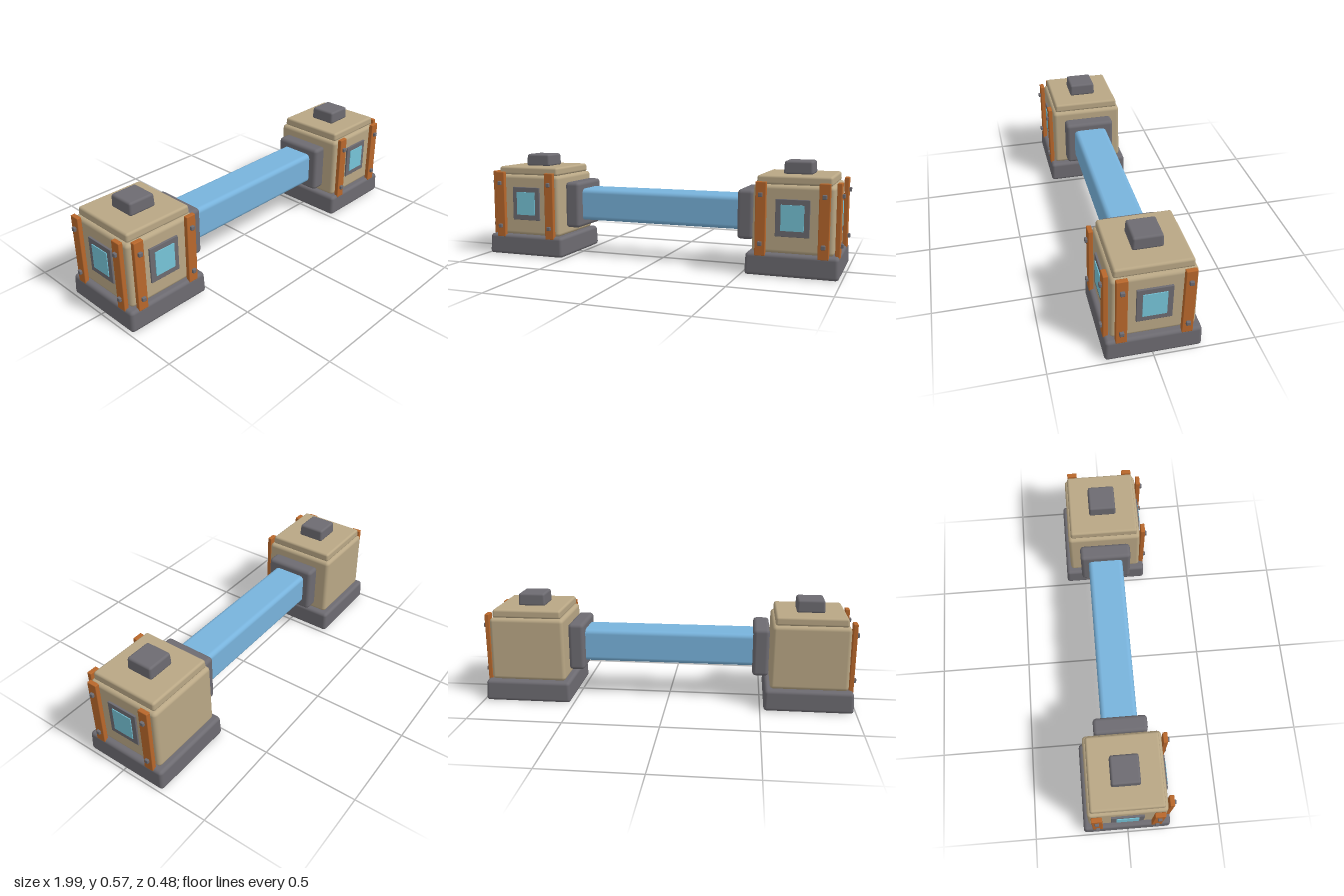
import * as THREE from 'three';
import { RoundedBoxGeometry } from 'three/addons/geometries/RoundedBoxGeometry.js';

const mat = (name, color) => new THREE.MeshStandardMaterial({ name, color });

export function createModel() {
  const stone = mat('sandstone', 0xb9a785);
  const grey = mat('grey metal', 0x6d6b71);
  const wood = mat('orange wood', 0xb8672b);
  const blue = mat('blue beam', 0x78b3dc);
  const glass = mat('window glass', 0x76c4d8);

  // Soft-edged block given by its min and max corners; the top can be narrowed.
  function block(parent, name, material, min, max, radius, taper = 0) {
    const size = max.map((v, i) => v - min[i]);
    const geo = new RoundedBoxGeometry(...size, 2, radius);
    if (taper) {
      const p = geo.attributes.position;
      for (let i = 0; i < p.count; i++) {
        const k = 1 - taper * (p.getY(i) / size[1] + 0.5);
        p.setX(i, p.getX(i) * k);
        p.setZ(i, p.getZ(i) * k);
      }
    }
    const mesh = new THREE.Mesh(geo, material);
    mesh.name = name;
    mesh.position.set(...max.map((v, i) => (v + min[i]) / 2));
    parent.add(mesh);
    return mesh;
  }

  // One decorated wall, facing +z: framed window, two planks and their bolts.
  function wall(name) {
    const g = new THREE.Group();
    g.name = name;
    block(g, 'windowFrame', grey, [-0.085, 0.2, -0.01], [0.085, 0.387, 0.009], 0.002);
    const pane = new THREE.Mesh(new THREE.BoxGeometry(0.115, 0.13, 0.008), glass);
    pane.name = 'windowPane';
    pane.position.set(0, 0.295, 0.009);
    g.add(pane);
    for (const x of [-0.156, 0.156]) {
      block(g, 'plank', wood, [x - 0.027, 0.1, 0.004], [x + 0.027, 0.472, 0.028], 0.004);
      for (const y of [0.163, 0.408]) {
        block(g, 'bolt', grey, [x - 0.011, y - 0.011, 0.022], [x + 0.011, y + 0.011, 0.041], 0.004);
      }
    }
    return g;
  }

  const model = new THREE.Group();
  model.name = 'beamWithTowers';

  // Connecting beam
  block(model, 'beam', blue, [-0.5, 0.2, -0.102], [0.5, 0.378, 0.09], 0.025);

  // Two mirrored towers
  for (const s of [-1, 1]) {
    const tower = new THREE.Group();
    tower.name = s > 0 ? 'leftTower' : 'rightTower';
    tower.position.set(s * 0.753, 0, -0.004);
    model.add(tower);

    block(tower, 'base', grey, [-0.235, 0, -0.235], [0.235, 0.114, 0.235], 0.018, 0.02);
    block(tower, 'body', stone, [-0.205, 0.113, -0.205], [0.205, 0.455, 0.205], 0.02, 0.02);
    block(tower, 'roof', stone, [-0.188, 0.455, -0.188], [0.188, 0.5, 0.188], 0.012, 0.02);
    block(tower, 'roofCap', grey, [-0.075, 0.497, -0.075], [0.075, 0.566, 0.075], 0.012, 0.05);

    // Collar holding the beam on the inner side
    const c = -s * 0.255;
    block(tower, 'collar', grey, [c - 0.043, 0.16, -0.141], [c + 0.043, 0.418, 0.141], 0.02);

    const front = wall('frontWall');
    front.position.z = 0.203;
    tower.add(front);

    const outer = wall('outerWall');
    outer.position.x = s * 0.203;
    outer.rotation.y = s * Math.PI / 2;
    tower.add(outer);
  }
  return model;
}
